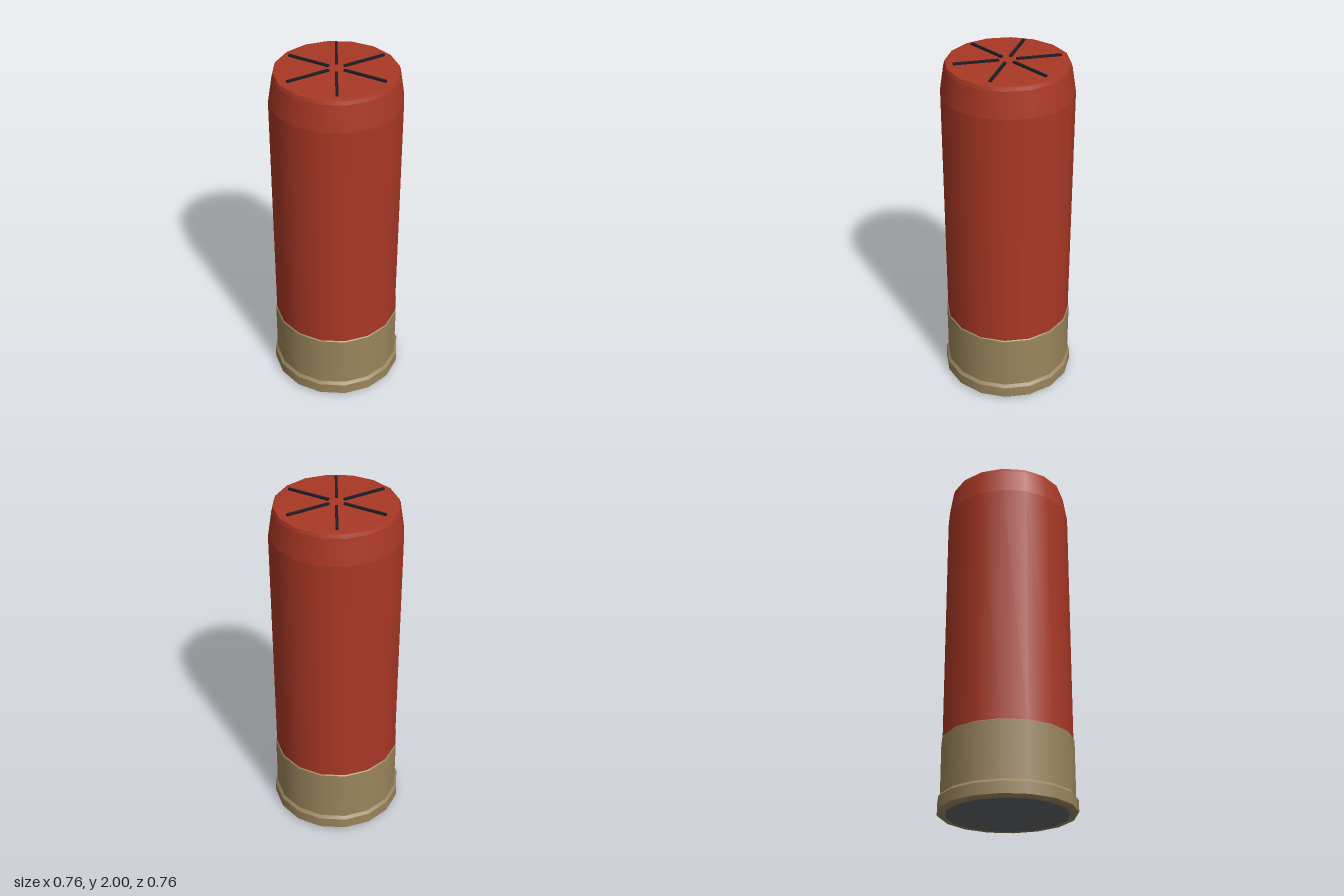
import * as THREE from 'three';
import { mergeGeometries } from 'three/addons/utils/BufferGeometryUtils.js';

const SIDES = 16;

// Each profile run is smooth; edges between runs stay sharp.
function turned(name, material, runs) {
  const parts = runs.map(run =>
    new THREE.LatheGeometry(run.map(([r, y]) => new THREE.Vector2(r, y)), SIDES));
  const mesh = new THREE.Mesh(mergeGeometries(parts), material);
  mesh.name = name;
  return mesh;
}

function flat(name, color) {
  const m = new THREE.MeshStandardMaterial({ color });
  m.name = name;
  return m;
}

export function createModel() {
  const red = flat('red plastic', 0xaa3825);
  const brass = flat('brass', 0x9a855d);
  const steel = flat('dark steel', 0x606468);
  const black = flat('fold black', 0x1c1d26);

  const model = new THREE.Group();
  model.name = 'cartridge';

  // Tube with a tapered, rounded mouth and a closed top
  model.add(turned('tube', red, [
    [[0.36, 0.4], [0.36, 1.82]],
    [[0.36, 1.82], [0.337, 1.965]],
    [[0.337, 1.965], [0.33, 1.985]],
    [[0.33, 1.985], [0.3, 1.99], [0, 1.99]],
  ]));

  // Metal head with a wider rim at its foot
  model.add(turned('metalHead', brass, [
    [[0.33, 0.006], [0.37, 0.006]],
    [[0.37, 0.006], [0.38, 0.016]],
    [[0.38, 0.016], [0.38, 0.08]],
    [[0.38, 0.08], [0.366, 0.097]],
    [[0.366, 0.097], [0.366, 0.415]],
    [[0.366, 0.415], [0.36, 0.42]],
  ]));

  // Base plate, standing just proud of the rim
  model.add(turned('basePlate', steel, [
    [[0, 0], [0.32, 0], [0.335, 0.004], [0.335, 0.012]],
  ]));

  // Six fold lines radiating over the top
  const folds = new THREE.Group();
  folds.name = 'foldLines';
  const bar = new THREE.BoxGeometry(0.243, 0.016, 0.015).translate(0.1675, 1.992, 0);
  for (let i = 0; i < 6; i++) {
    const fold = new THREE.Mesh(bar, black);
    fold.name = 'foldLine';
    fold.rotation.y = i * Math.PI / 3;
    folds.add(fold);
  }
  model.add(folds);

  return model;
}
